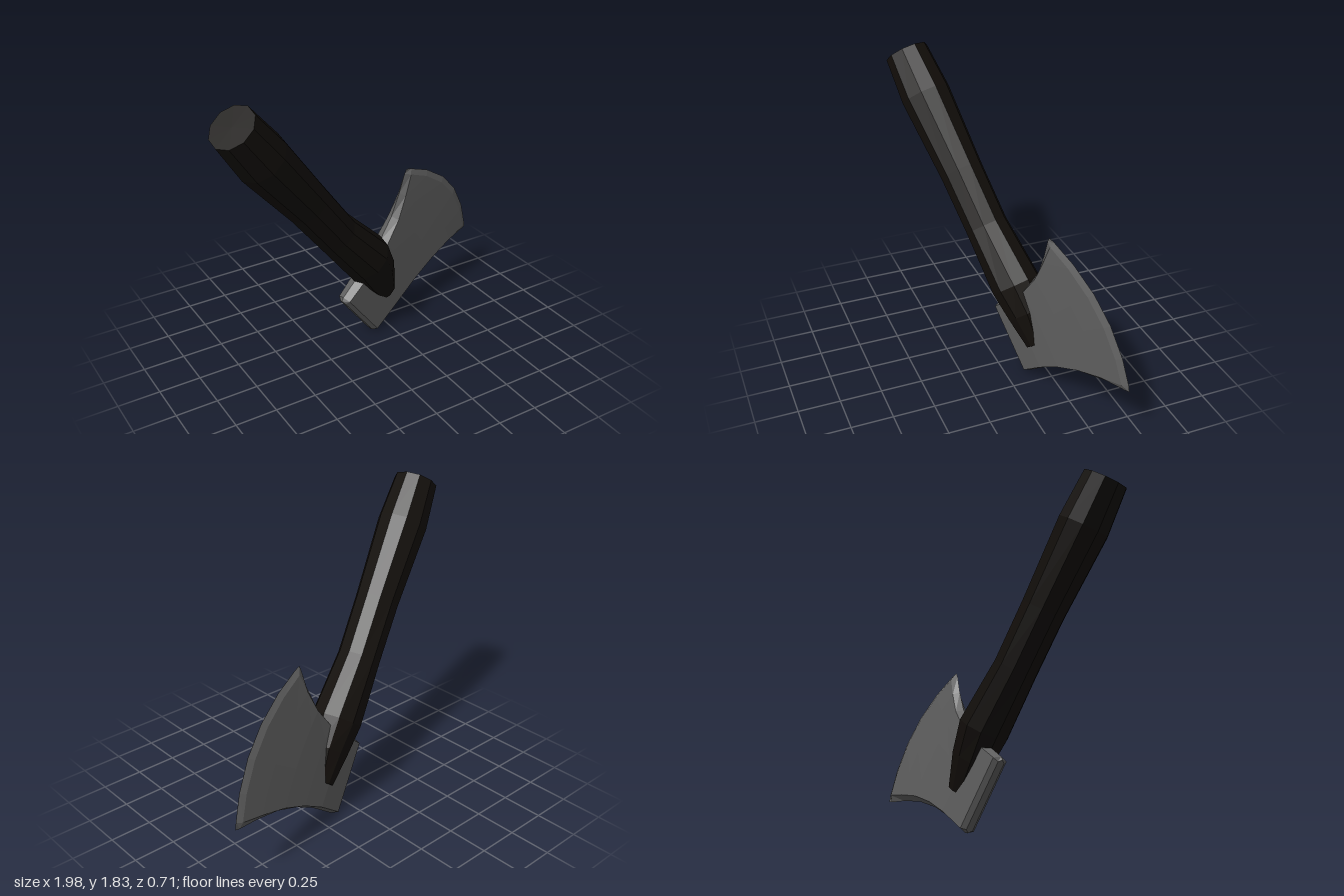
import * as THREE from 'three';

// Skin a list of equal-length rings (counter-clockwise about the travel direction), capped at both ends.
function loft(rings) {
  const n = rings[0].length;
  const points = rings.flat();
  const index = [];
  for (let i = 0; i < rings.length - 1; i++) {
    for (let j = 0; j < n; j++) {
      const k = (j + 1) % n;
      const a = i * n + j, b = i * n + k, c = a + n, d = b + n;
      index.push(a, b, d, a, d, c);
    }
  }
  const addCap = (start, flip) => {
    const centre = new THREE.Vector3();
    for (let j = 0; j < n; j++) centre.addScaledVector(points[start + j], 1 / n);
    const m = points.push(centre) - 1;
    for (let j = 0; j < n; j++) {
      const a = start + j, b = start + (j + 1) % n;
      index.push(m, ...(flip ? [b, a] : [a, b]));
    }
  };
  addCap(0, true);
  addCap((rings.length - 1) * n, false);
  const geometry = new THREE.BufferGeometry().setFromPoints(points);
  geometry.setIndex(index);
  const flat = geometry.toNonIndexed();
  flat.computeVertexNormals();
  return flat;
}

// Ten-sided handle, swelling at the grip and just above the head.
function handleGeometry() {
  // [height, centre offset, radius across, radius in depth]
  const sections = [
    [-0.02, 0.0, 0.08, 0.07],
    [0.17, 0.035, 0.137, 0.115],
    [0.35, 0.05, 0.155, 0.148],
    [0.74, 0.017, 0.128, 0.128],
    [1.1, 0.014, 0.132, 0.13],
    [1.6, 0.0, 0.152, 0.15],
    [1.88, 0.0, 0.131, 0.131],
  ];
  return loft(sections.map(([y, cx, rx, rz]) =>
    Array.from({ length: 10 }, (_, k) => {
      const a = (k + 0.5) * Math.PI / 5;
      return new THREE.Vector3(cx + rx * Math.sin(a), y, rz * Math.cos(a));
    })));
}

// Axe head: bevelled slab flaring from a square poll to a curved cutting edge.
function bladeGeometry() {
  // [position, half height, half thickness, edge bulge, edge slant]
  const sections = [
    [-0.248, 0.222, 0.02, 0, 0],
    [-0.225, 0.232, 0.045, 0, 0],
    [0.0, 0.235, 0.055, 0, 0],
    [0.18, 0.258, 0.05, 0.01, 0],
    [0.35, 0.305, 0.042, 0.03, 0.01],
    [0.5, 0.378, 0.03, 0.07, 0.03],
    [0.62, 0.448, 0.018, 0.13, 0.045],
    [0.65, 0.46, 0.002, 0.14, 0.047],
  ];
  const face = [0.92, 0.6, 0.2, -0.2, -0.6, -0.92];
  const ring = [
    [1, 0], ...face.map(t => [t, 1]),
    [-1, 0], ...face.map(t => [-t, -1]),
  ];
  return loft(sections.map(([x, h, thick, bulge, slant]) =>
    ring.map(([t, side]) => new THREE.Vector3(
      x + bulge * (1 - t * t) - slant * t, 0.06 + h * t, side * thick))));
}

export function createModel() {
  const model = new THREE.Group();
  model.name = 'axe';

  const addPart = (name, geometry, color) => {
    const material = new THREE.MeshStandardMaterial({ color, flatShading: true });
    const mesh = new THREE.Mesh(geometry, material);
    mesh.name = name;
    axe.add(mesh);
  };

  // The axe is built upright, then leaned over.
  const axe = new THREE.Group();
  axe.name = 'leaningAxe';
  addPart('handle', handleGeometry(), 0x120e0a);
  addPart('blade', bladeGeometry(), 0x606060);

  const up = new THREE.Vector3(-0.593, 0.779, 0.206).normalize();
  const out = up.clone().cross(new THREE.Vector3(0.253, -0.058, 0.965)).normalize();
  const front = out.clone().cross(up);
  axe.quaternion.setFromRotationMatrix(new THREE.Matrix4().makeBasis(out, up, front));
  axe.position.set(0.22, 0.31, -0.157);
  model.add(axe);
  return model;
}
